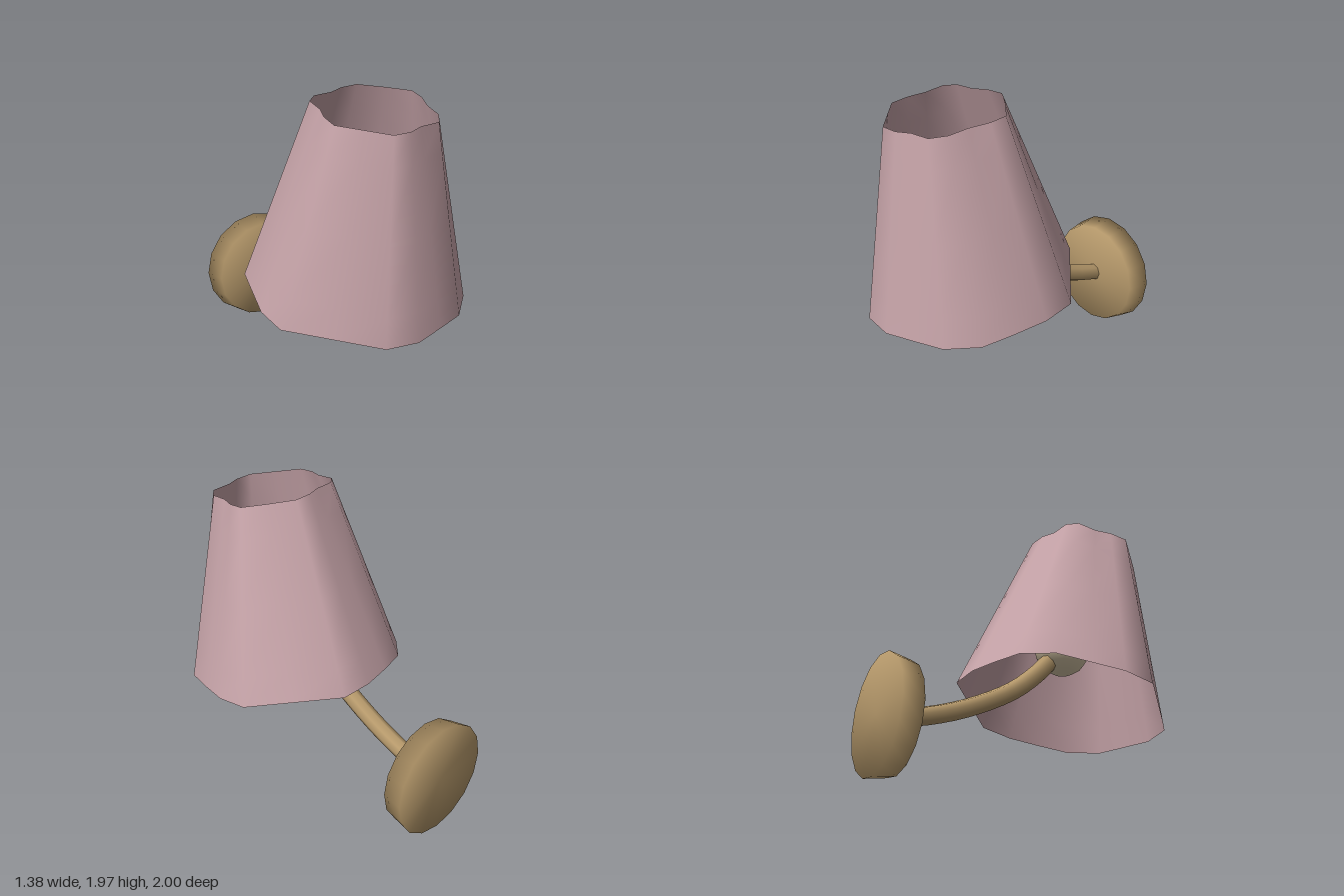
import * as THREE from 'three';
import { mergeVertices } from 'three/addons/utils/BufferGeometryUtils.js';

// Weld a geometry so its shading runs smoothly over every edge
function smooth(geometry) {
  geometry.deleteAttribute('normal');
  geometry.deleteAttribute('uv');
  const welded = mergeVertices(geometry, 1e-4);
  welded.computeVertexNormals();
  return welded;
}

// Skin a list of closed rings, each with the same number of points
function loft(rings) {
  const n = rings[0].length;
  const index = [];
  for (let r = 0; r < rings.length - 1; r++) {
    for (let i = 0; i < n; i++) {
      const a = r * n + i, b = r * n + (i + 1) % n;
      index.push(a, b, b + n, a, b + n, a + n);
    }
  }
  const geometry = new THREE.BufferGeometry();
  geometry.setAttribute('position', new THREE.Float32BufferAttribute(rings.flat(2), 3));
  geometry.setIndex(index);
  geometry.computeVertexNormals();
  return geometry;
}

export function createModel() {
  const model = new THREE.Group();
  const fabric = new THREE.MeshStandardMaterial({ color: 0xc8a5aa, side: THREE.DoubleSide });
  fabric.name = 'dusty pink fabric';
  const brass = new THREE.MeshStandardMaterial({ color: 0xb6996b });
  brass.name = 'brass';
  const glass = new THREE.MeshStandardMaterial({ color: 0xd9c9a9 });
  glass.name = 'cream glass';

  function add(name, geometry, material) {
    const mesh = new THREE.Mesh(geometry, material);
    mesh.name = name;
    model.add(mesh);
    return mesh;
  }

  // Shade: uneven rims as [x, z], each lying in a tilted plane
  const lowerRim = [
    [0, 1], [0.21, 0.94], [0.41, 0.88], [0.58, 0.72], [0.64, 0.51], [0.69, 0.3], [0.68, 0.08], [0.45, -0.145],
    [0.22, -0.37], [0, -0.37], [-0.21, -0.32], [-0.41, -0.26], [-0.57, -0.1], [-0.63, 0.11],
    [-0.69, 0.32], [-0.68, 0.53], [-0.45, 0.75], [-0.22, 0.97],
  ];
  const upperRim = [
    [0, 0.86], [0.1, 0.82], [0.24, 0.81], [0.31, 0.72], [0.33, 0.59], [0.38, 0.47], [0.39, 0.36], [0.26, 0.25],
    [0.12, 0.15], [0, 0.16], [-0.1, 0.2], [-0.23, 0.21], [-0.3, 0.27], [-0.31, 0.4],
    [-0.35, 0.5], [-0.36, 0.62], [-0.24, 0.74], [-0.12, 0.86],
  ];
  const rings = [0, 0.15, 0.5, 0.85, 1].map((t) => lowerRim.map(([x0, z0], i) => {
    const [x1, z1] = upperRim[i];
    const y0 = 0.59 + (1 - z0) * 0.16;
    const y1 = 1.86 + (0.86 - z1) * 0.157;
    return [x0 + (x1 - x0) * t, y0 + (y1 - y0) * t, z0 + (z1 - z0) * t];
  }));
  add('shade', loft(rings), fabric);

  // Wall plate: tapered disc, wider against the wall
  const plate = smooth(new THREE.CylinderGeometry(0.357, 0.385, 0.15, 16));
  plate.rotateX(Math.PI / 2);
  add('wallPlate', plate, brass).position.set(0, 0.387, -0.925);

  // Arm: curves from the plate up into the bulb
  const path = new THREE.CatmullRomCurve3([
    [0.39, -0.86], [0.46, -0.62], [0.57, -0.36], [0.74, -0.07], [0.9, 0.11], [1.06, 0.25],
  ].map(([y, z]) => new THREE.Vector3(0, y, z)));
  add('arm', new THREE.TubeGeometry(path, 14, 0.06, 8), brass);

  // Bulb
  add('bulb', new THREE.SphereGeometry(0.19, 12, 8), glass).position.set(0, 1.13, 0.31);

  return model;
}
